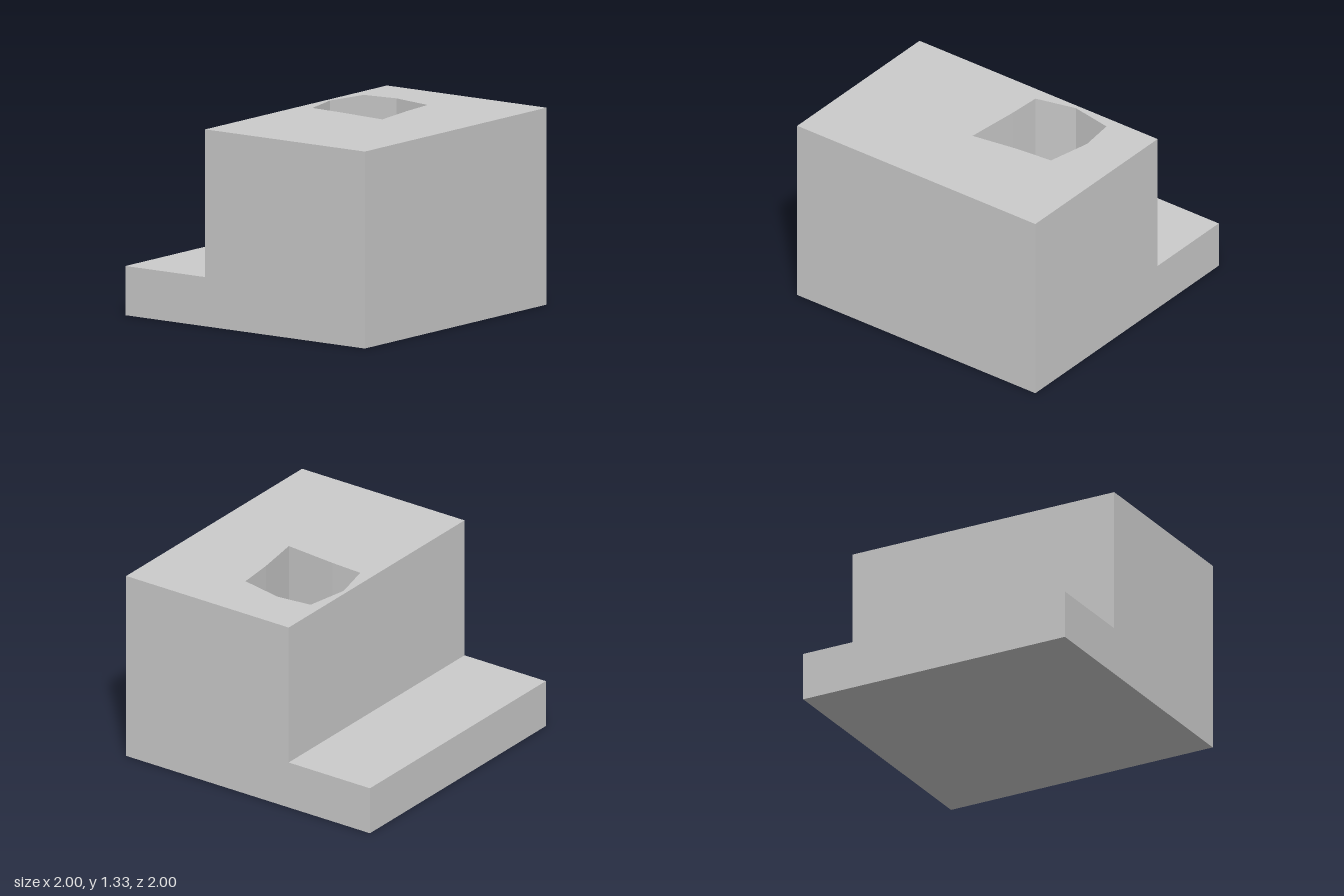
import * as THREE from 'three';

const STEP = 1 / 3, TOP = 4 / 3;

export function createModel() {
  const model = new THREE.Group();
  model.name = 'steppedBlock';
  const material = new THREE.MeshStandardMaterial({ color: 0xcccccc, flatShading: true });

  const add = (name, geometry) => {
    const mesh = new THREE.Mesh(geometry, material);
    mesh.name = name;
    model.add(mesh);
  };
  // Plan points are given as [x, z]; the shape's y axis becomes -z once laid flat.
  const plan = (points) => points.map(([x, z]) => new THREE.Vector2(x, -z));

  // Base slab: its rear strip is the step, and it also floors the pocket
  add('baseSlab', new THREE.BoxGeometry(2, STEP, 2).translate(0, STEP / 2, 0));

  // Upper block with an irregular eight-sided pocket
  const block = new THREE.Shape(plan([[-1, 1], [1, 1], [1, -STEP], [-1, -STEP]]));
  block.holes.push(new THREE.Path(plan([
    [0.05, -0.235], [0.335, -0.305], [0.635, -0.25], [0.665, 0],
    [0.6, 0.31], [0.33, 0.335], [0, 0.387], [0.037, 0],
  ])));
  const upper = new THREE.ExtrudeGeometry(block, { depth: TOP - STEP, bevelEnabled: false });
  add('upperBlock', upper.rotateX(-Math.PI / 2).translate(0, STEP, 0));

  return model;
}
